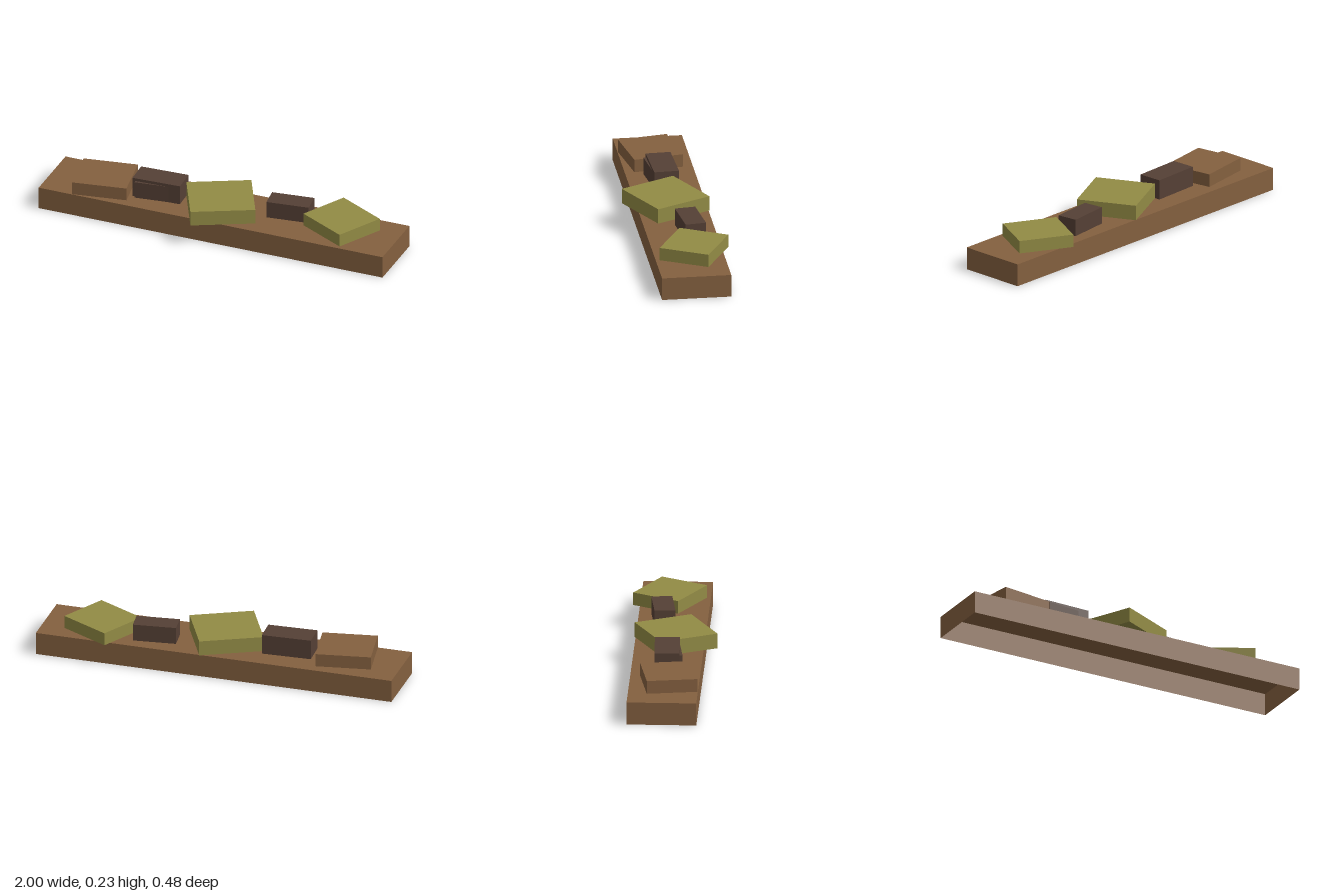
import * as THREE from 'three';

const material = (name, color) =>
  new THREE.MeshStandardMaterial({ name, color, side: THREE.DoubleSide });

// Hollow block: a box without its underside
function openBox(w, h, d) {
  const geo = new THREE.BoxGeometry(w, h, d);
  const index = Array.from(geo.index.array);
  index.splice(18, 6); // indices of the bottom face
  geo.setIndex(index);
  geo.clearGroups();
  return geo.translate(0, h / 2, 0);
}

export function createModel() {
  const group = new THREE.Group();
  const brown = material('wood brown', 0x84603f);
  const olive = material('olive green', 0x928b45);
  const dark = material('dark brown', 0x554035);

  function block(name, mat, [w, h, d], [x, y, z], turn = 0) {
    const mesh = new THREE.Mesh(openBox(w, h, d), mat);
    mesh.name = name;
    mesh.position.set(x, y, z);
    mesh.rotation.y = turn;
    group.add(mesh);
  }

  // Long plank that carries everything
  const top = 0.125;
  block('plank', brown, [2, top, 0.375], [0, 0, -0.018]);

  // Loose blocks lying on the plank, from its right end to its left
  block('brownBlock', brown, [0.3, 0.072, 0.273], [-0.682, top, 0.007], 0.165);
  block('lowerDarkBlock', dark, [0.236, 0.094, 0.113], [-0.372, top, 0.002], 0.119);
  block('upperDarkBlock', dark, [0.272, 0.11, 0.135], [-0.368, top, -0.015], 0.04);
  block('middleOliveBlock', olive, [0.35, 0.083, 0.332], [-0.004, top, 0.016], 0.46);
  block('leftDarkBlock', dark, [0.236, 0.094, 0.113], [0.365, top, -0.069], 0.119);
  block('leftOliveBlock', olive, [0.305, 0.071, 0.28], [0.672, top, -0.047], -0.487);

  return group;
}
